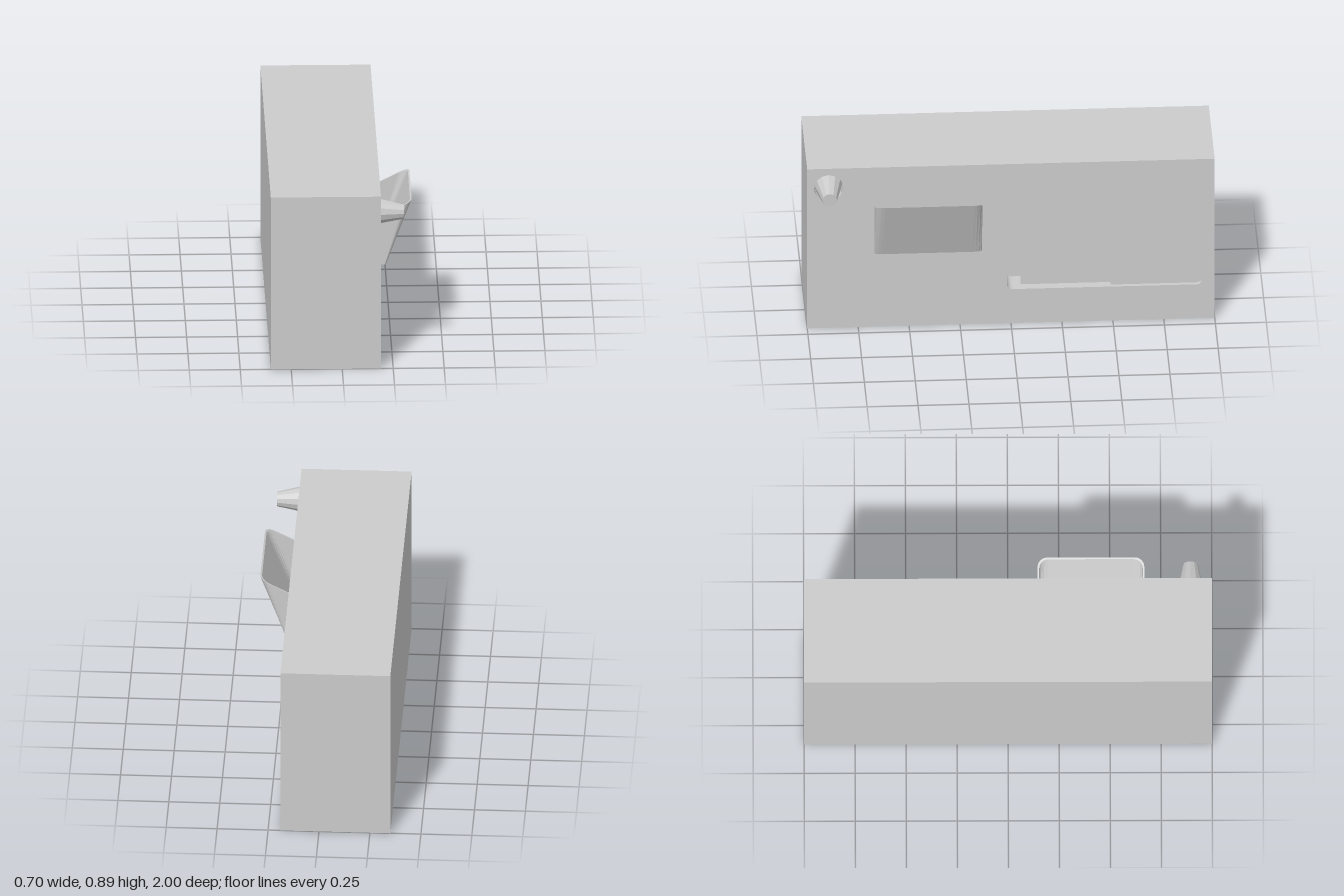
import * as THREE from 'three';

const W = 0.19; // plane of the detailed side of the housing
const mat = new THREE.MeshStandardMaterial({ color: 0xcccccc, flatShading: true });
const thin = new THREE.MeshStandardMaterial({ color: 0xcccccc, flatShading: true, side: THREE.DoubleSide });

function add(parent, name, geometry, material = mat) {
  const mesh = new THREE.Mesh(geometry, material);
  mesh.name = name;
  parent.add(mesh);
  return mesh;
}

// Rounded rectangle, counter-clockwise
function roundedRect(x0, y0, x1, y1, r) {
  const s = new THREE.Shape();
  s.absarc(x1 - r, y0 + r, r, -Math.PI / 2, 0);
  s.absarc(x1 - r, y1 - r, r, 0, Math.PI / 2);
  s.absarc(x0 + r, y1 - r, r, Math.PI / 2, Math.PI);
  s.absarc(x0 + r, y0 + r, r, Math.PI, Math.PI * 1.5);
  return s;
}

// Surface through rows of points with equal counts
function skin(rows) {
  const n = rows[0].length, index = [];
  for (let i = 0; i < rows.length - 1; i++) {
    for (let j = 0; j < n - 1; j++) {
      const a = i * n + j, b = a + 1, c = b + n, d = a + n;
      index.push(a, b, c, a, c, d);
    }
  }
  const g = new THREE.BufferGeometry();
  g.setAttribute('position', new THREE.Float32BufferAttribute(rows.flat(2), 3));
  g.setIndex(index);
  g.computeVertexNormals();
  return g;
}

// Inner walls and floor of a pocket sunk into the side
function addPocket(parent, name, shape, floor) {
  const pts = shape.getPoints(6);
  if (!pts[0].equals(pts[pts.length - 1])) pts.push(pts[0].clone());
  add(parent, name + 'Walls', skin([W, floor].map(w => pts.map(p => [p.x, p.y, w]))));
  add(parent, name + 'Floor', new THREE.ShapeGeometry(shape, 6).translate(0, 0, floor));
}

// Open-topped tray: U-shaped section that widens upwards to a slanted rim
function trayGeometry() {
  const u0 = -0.67, u1 = -0.145, r = 0.045, t = 0.008;
  const outline = inset => {
    const a = u0 + inset, b = u1 - inset, pts = [[a, 0]];
    for (let i = 0; i <= 4; i++) {
      const k = i / 4 * Math.PI / 2;
      pts.push([a + r * (1 - Math.cos(k)), 0.72 + 0.28 * Math.sin(k)]);
    }
    for (let i = 4; i >= 0; i--) {
      const k = i / 4 * Math.PI / 2;
      pts.push([b - r * (1 - Math.cos(k)), 0.72 + 0.28 * Math.sin(k)]);
    }
    pts.push([b, 0]);
    return pts;
  };
  const ring = (inset, reach, y, slope) => outline(inset).map(([u, d]) =>
    [u, y + slope * reach * d, W + reach * d]);
  return skin([
    ring(0, 0, 0.425, 0), ring(0, 0.037, 0.425, 0), ring(0, 0.16, 0.67, 0.5),
    ring(t, 0.16 - t, 0.67, 0.5), ring(t, 0.037 - t, 0.435, 0), ring(t, 0, 0.435, 0),
  ]);
}

export function createModel() {
  const model = new THREE.Group();
  model.name = 'housingUnit';

  // Housing shell without its +x face
  const shell = new THREE.BoxGeometry(0.54, 0.89, 2).translate(-0.08, 0.445, 0);
  shell.setIndex(Array.from(shell.index.array).slice(6));
  shell.clearGroups();
  add(model, 'housing', shell);

  // Side details: local x runs towards -z, local z points out along +x
  const side = new THREE.Group();
  side.name = 'sideDetails';
  side.rotation.y = Math.PI / 2;
  model.add(side);

  const opening = roundedRect(-0.02, 0.19, 0.94, 0.77, 0.03);
  const socket = new THREE.Shape().absarc(-0.895, 0.782, 0.073, 0, Math.PI * 2);
  const face = new THREE.Shape([[-1, 0], [1, 0], [1, 0.89], [-1, 0.89]].map(p => new THREE.Vector2(...p)));
  face.holes.push(opening, socket);
  add(side, 'sideFace', new THREE.ShapeGeometry(face, 6).translate(0, 0, W));
  addPocket(side, 'opening', opening, 0.06);
  addPocket(side, 'spoutSocket', socket, 0.15);

  // Overlapping sliding panels
  for (const [name, a, b, front] of [['rearPanel', 0.05, 0.52, 0.143], ['frontPanel', 0.49, 0.945, 0.17]]) {
    add(side, name, new THREE.BoxGeometry(b - a, 0.586, 0.024)
      .translate((a + b) / 2, 0.48, front - 0.012));
  }

  // Tapered spout, tilted slightly down
  const spout = add(side, 'spout', new THREE.CylinderGeometry(0.036, 0.07, 0.154, 12)
    .rotateX(Math.PI / 2).translate(0, 0, 0.077));
  spout.position.set(-0.895, 0.782, 0.15);
  spout.rotation.x = 0.04;

  add(side, 'tray', trayGeometry(), thin);
  return model;
}
